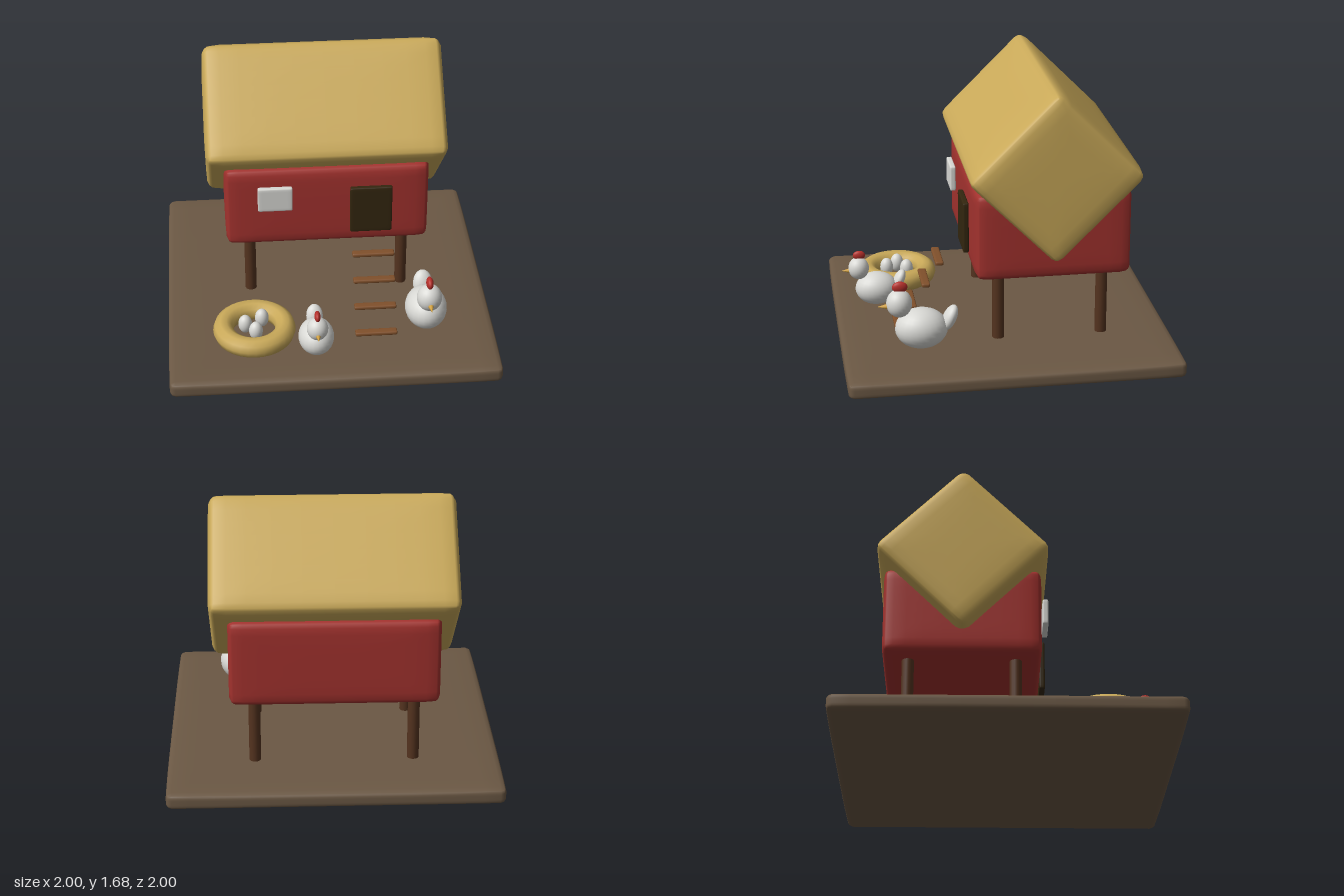
import * as THREE from 'three';
import { mergeVertices } from 'three/addons/utils/BufferGeometryUtils.js';

const paint = (name, color) => {
  const m = new THREE.MeshStandardMaterial({ color });
  m.name = name;
  return m;
};

// Box with rounded edges and faintly swollen faces
function softBox(w, h, d, r, swell = 0, n = 12) {
  const geo = new THREE.BoxGeometry(2, 2, 2, n, n, n);
  geo.deleteAttribute('uv');
  geo.deleteAttribute('normal');
  const half = [w / 2, h / 2, d / 2];
  const pos = geo.attributes.position;
  const p = new THREE.Vector3(), inner = new THREE.Vector3();
  for (let i = 0; i < pos.count; i++) {
    p.fromBufferAttribute(pos, i);
    const u = p.toArray().map((c) => Math.sin((c * Math.PI) / 2)); // crowd rows towards the edges
    p.set(...u.map((c, k) => c * half[k]));
    inner.set(...half.map((b, k) => THREE.MathUtils.clamp(p.getComponent(k), r - b, b - r)));
    p.sub(inner).normalize().multiplyScalar(r).add(inner);
    u.forEach((c, k) => {
      const off = Math.max(u[(k + 1) % 3] ** 2, u[(k + 2) % 3] ** 2) ** 2;
      p.setComponent(k, p.getComponent(k) - swell * c * off);
    });
    pos.setXYZ(i, p.x, p.y, p.z);
  }
  const merged = mergeVertices(geo, 1e-5);
  merged.computeVertexNormals();
  return merged;
}

export function createModel() {
  const straw = paint('straw', 0xc9a959);
  const red = paint('barnRed', 0xa3322e);
  const earth = paint('earth', 0x6b5844);
  const darkWood = paint('darkWood', 0x54331f);
  const wood = paint('wood', 0x80502b);
  const doorway = paint('doorBrown', 0x33260f);
  const white = paint('white', 0xd8d8d4);
  const beakGold = paint('beakGold', 0xd0a040);
  const combRed = paint('combRed', 0xb52f2a);

  const model = new THREE.Group();
  model.name = 'chickenCoop';

  const add = (name, geo, mat, x, y, z, parent = model) => {
    const mesh = new THREE.Mesh(geo, mat);
    mesh.name = name;
    mesh.position.set(x, y, z);
    parent.add(mesh);
    return mesh;
  };
  const ball = new THREE.SphereGeometry(1, 24, 16);
  const blob = (name, mat, at, size, parent) => {
    const mesh = add(name, ball, mat, ...at, parent);
    mesh.scale.set(...size);
    return mesh;
  };

  // Yard
  add('ground', softBox(2, 0.115, 2, 0.035, 0.006), earth, 0, 0.0675, 0);

  // Coop on stilts, under a diamond-shaped thatch
  add('house', softBox(1.25, 0.55, 0.94, 0.045, 0.008), red, 0, 0.815, -0.26);
  const roof = add('roof', softBox(1.465, 0.765, 0.765, 0.05, 0.012), straw, 0, 1.187, -0.26);
  roof.rotation.x = Math.PI / 4;
  const leg = new THREE.CylinderGeometry(0.036, 0.036, 0.46, 14);
  for (const x of [-0.475, 0.475])
    for (const z of [0.055, -0.575]) add('leg', leg, darkWood, x, 0.34, z);

  // Door, window and ladder
  add('door', softBox(0.255, 0.315, 0.036, 0.01), doorway, 0.263, 0.803, 0.235);
  add('window', softBox(0.21, 0.16, 0.036, 0.01), white, -0.32, 0.9, 0.235);
  const rung = softBox(0.255, 0.026, 0.05, 0.01, 0, 8);
  for (let i = 0; i < 4; i++)
    add('ladderRung', rung, wood, 0.263, 0.172 + i * 0.137, 0.645 - i * 0.083);

  // Nest with eggs
  const ring = new THREE.TorusGeometry(0.188, 0.063, 10, 32).rotateX(-Math.PI / 2);
  add('nest', ring, straw, -0.475, 0.194, 0.578);
  for (const [x, z] of [[-0.53, 0.573], [-0.427, 0.52], [-0.468, 0.645]])
    blob('egg', white, [x, 0.228, z], [0.042, 0.06, 0.042]);

  // Hens, modelled around the centre of the body
  const beakCone = new THREE.ConeGeometry(0.018, 0.065, 12).rotateX(Math.PI / 2);
  const hen = (x, y, z, scale) => {
    const group = new THREE.Group();
    group.name = 'hen';
    blob('henBody', white, [0, 0, 0], [0.128, 0.123, 0.158], group);
    blob('henHead', white, [0, 0.166, 0.13], [0.076, 0.085, 0.077], group);
    blob('henComb', combRed, [0, 0.268, 0.125], [0.022, 0.035, 0.046], group);
    add('henBeak', beakCone, beakGold, 0, 0.15, 0.228, group);
    const tail = blob('henTail', white, [0, 0.054, -0.168], [0.06, 0.085, 0.04], group);
    tail.rotation.x = -0.45;
    group.position.set(x, y, z);
    group.scale.setScalar(scale);
    model.add(group);
  };
  hen(0.578, 0.262, 0.53, 1);
  hen(-0.11, 0.24, 0.74, 0.84);

  return model;
}
